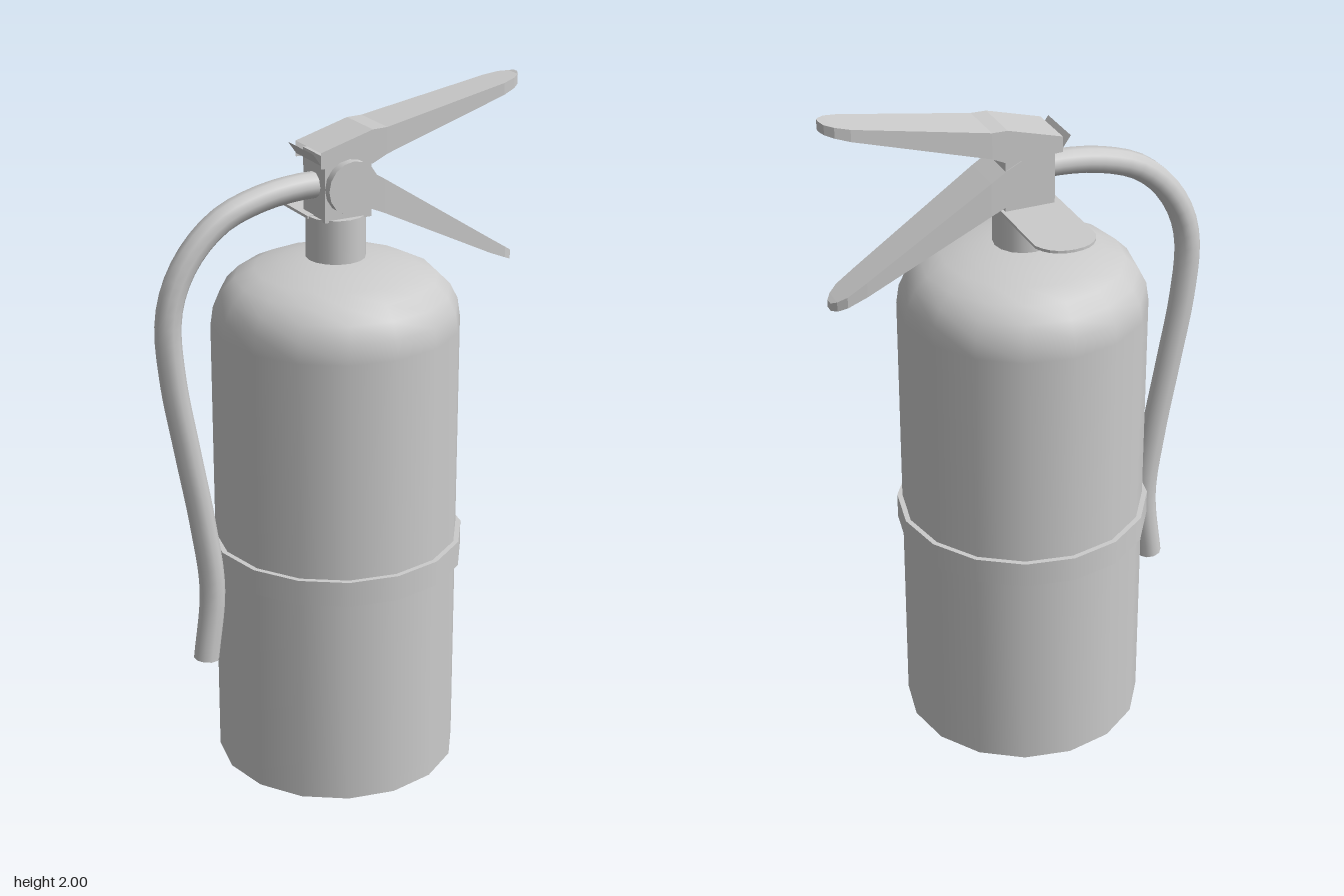
import * as THREE from 'three';

const AXIS = -0.015; // x of the cylinder's axis
const SIDES = 16;

export function createModel() {
  const model = new THREE.Group();
  const smooth = new THREE.MeshStandardMaterial({ color: 0xcccccc });
  const flat = new THREE.MeshStandardMaterial({ color: 0xcccccc, flatShading: true, side: THREE.DoubleSide });

  function add(name, geometry, material, x = 0, y = 0, z = 0) {
    const mesh = new THREE.Mesh(geometry, material);
    mesh.name = name;
    mesh.position.set(x, y, z);
    model.add(mesh);
    return mesh;
  }

  // Sheet-metal channel, open below; sections are [x, topY, bottomY, halfWidth]
  function channel(sections) {
    const pos = [];
    const index = [];
    for (const [x, top, bottom, w] of sections) {
      pos.push(x, bottom, w, x, top, w, x, top, -w, x, bottom, -w);
    }
    for (let i = 0; i < sections.length - 1; i++) {
      for (let j = 0; j < 3; j++) {
        const a = i * 4 + j, b = a + 4;
        index.push(a, b, b + 1, a, b + 1, a + 1);
      }
    }
    const e = (sections.length - 1) * 4;
    index.push(e, e + 3, e + 2, e, e + 2, e + 1);
    const g = new THREE.BufferGeometry();
    g.setAttribute('position', new THREE.Float32BufferAttribute(pos, 3));
    g.setIndex(index);
    g.computeVertexNormals();
    return g;
  }

  // Tank with domed shoulder
  const profile = [
    [0.353, 0], [0.353, 1.35], [0.345, 1.405], [0.322, 1.45], [0.285, 1.487],
    [0.23, 1.513], [0.16, 1.53], [0.085, 1.543], [0, 1.545],
  ].map(([r, y]) => new THREE.Vector2(r, y));
  add('tank', new THREE.LatheGeometry(profile, SIDES), smooth, AXIS);
  add('tankBase', new THREE.CircleGeometry(0.353, SIDES), smooth, AXIS).rotation.x = Math.PI / 2;

  // Strap around the tank
  add('strap', new THREE.CylinderGeometry(0.368, 0.368, 0.075, SIDES), smooth, AXIS, 0.672);

  // Neck, valve block and gauge
  add('neck', new THREE.CylinderGeometry(0.084, 0.084, 0.13, SIDES), smooth, AXIS, 1.603);
  add('valveBlock', new THREE.BoxGeometry(0.145, 0.185, 0.125), smooth, -0.01, 1.755, 0);
  const gauge = add('gauge', new THREE.CylinderGeometry(0.076, 0.076, 0.025, SIDES), smooth, AXIS, 1.763, 0.092);
  gauge.rotation.x = Math.PI / 2;
  const stem = add('gaugeStem', new THREE.CylinderGeometry(0.03, 0.03, 0.05, 8), smooth, AXIS, 1.763, 0.065);
  stem.rotation.x = Math.PI / 2;

  // Hanging tab: a thin plate with a rounded end, pointing backwards
  const tab = new THREE.Shape();
  tab.moveTo(-0.088, 0);
  tab.lineTo(0.088, 0);
  tab.lineTo(0.088, 0.28);
  tab.quadraticCurveTo(0.065, 0.34, 0, 0.34);
  tab.quadraticCurveTo(-0.065, 0.34, -0.088, 0.28);
  tab.closePath();
  const tabGeometry = new THREE.ExtrudeGeometry(tab, { depth: 0.008, bevelEnabled: false, curveSegments: 5 });
  add('hangingTab', tabGeometry, smooth, AXIS, 1.662, 0).rotation.x = -Math.PI / 2;

  // Squeeze lever with its rear lip
  add('upperLever', channel([
    [-0.1, 1.865, 1.82, 0.073], [0.06, 1.91, 1.815, 0.073], [0.105, 1.911, 1.836, 0.073],
    [0.49, 1.982, 1.948, 0.055], [0.53, 1.99, 1.96, 0.043], [0.552, 1.994, 1.966, 0.025],
    [0.56, 1.998, 1.97, 0.009],
  ]), flat);
  add('upperLeverLip', new THREE.PlaneGeometry(0.146, 0.043), flat, -0.111, 1.847, 0)
    .rotation.set(0.61, -Math.PI / 2, 0, 'YXZ');

  // Carrying handle
  add('lowerHandle', channel([
    [0, 1.82, 1.71, 0.066], [0.06, 1.79, 1.685, 0.066], [0.105, 1.762, 1.665, 0.066],
    [0.46, 1.532, 1.489, 0.05], [0.515, 1.497, 1.465, 0.045], [0.54, 1.481, 1.453, 0.03],
    [0.553, 1.472, 1.45, 0.012],
  ]), flat);

  // Hose hanging beside the tank, closed at its free end
  const path = new THREE.CatmullRomCurve3([
    [-0.08, 1.757], [-0.14, 1.756], [-0.246, 1.741], [-0.362, 1.7], [-0.447, 1.628],
    [-0.505, 1.534], [-0.53, 1.43], [-0.52, 1.26], [-0.484, 1.048], [-0.442, 0.81],
    [-0.418, 0.6], [-0.442, 0.386],
  ].map(([x, y]) => new THREE.Vector3(x, y, 0)));
  add('hose', new THREE.TubeGeometry(path, 40, 0.037, 10), smooth);
  const end = path.getPointAt(1);
  const cap = add('hoseEnd', new THREE.CircleGeometry(0.037, 10), smooth, end.x, end.y, end.z);
  cap.lookAt(end.clone().add(path.getTangentAt(1)));

  return model;
}
